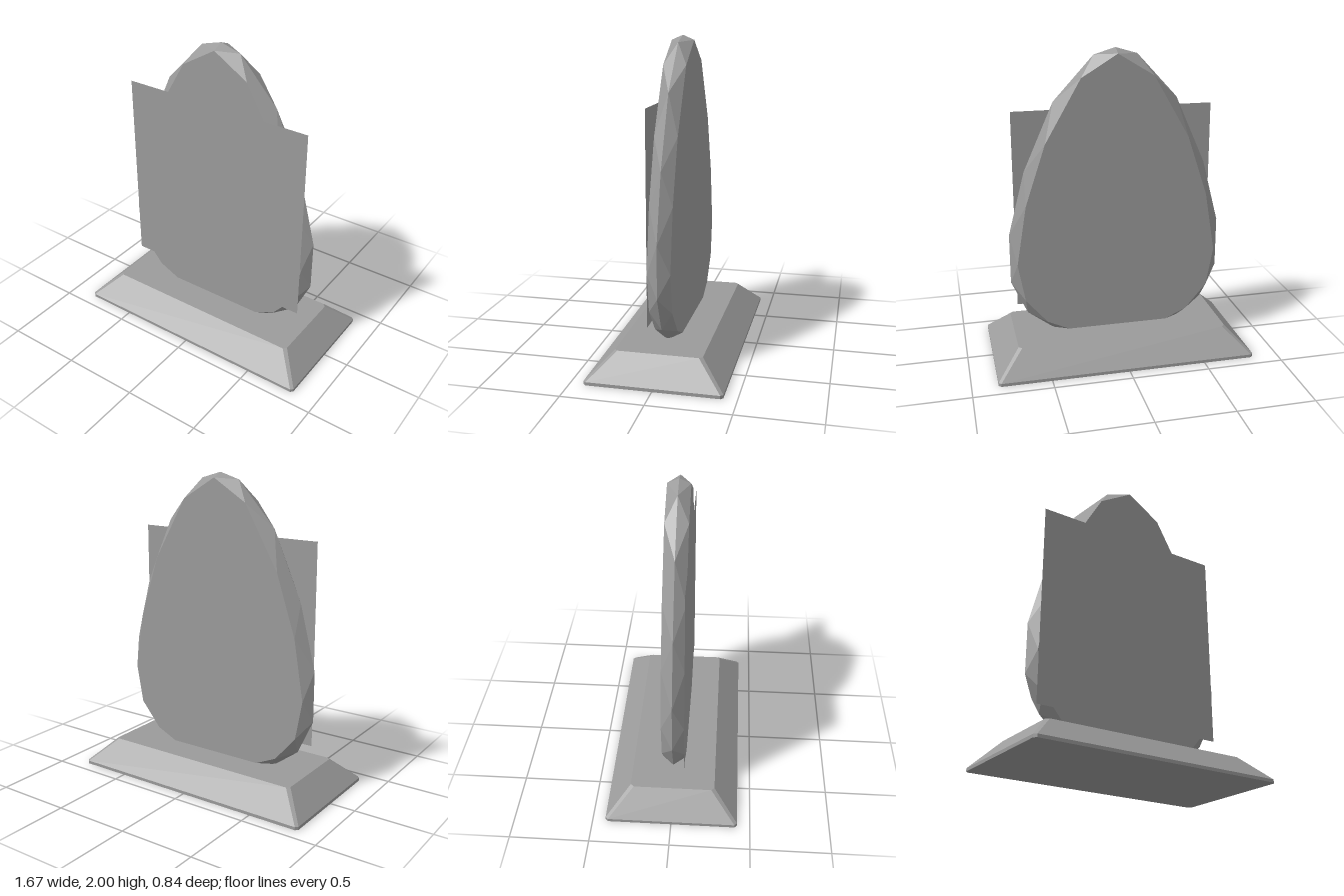
import * as THREE from 'three';

const material = new THREE.MeshStandardMaterial({ color: 0x9b9b9b, flatShading: true });

// Flat-shaded mesh from a list of corner triples
function facetMesh(name, corners) {
  const geometry = new THREE.BufferGeometry().setFromPoints(corners);
  geometry.computeVertexNormals();
  const mesh = new THREE.Mesh(geometry, material);
  mesh.name = name;
  return mesh;
}

// Egg-shaped slab: staggered ridge (z = 0) and rim (z = depth), mirrored four ways
function createSlab() {
  const depth = 0.071;
  const ridge = [[0, 2], [0.137, 1.96], [0.395, 1.68], [0.588, 1.245], [0.695, 0.835],
    [0.695, 0.51], [0.592, 0.285], [0.4, 0.14], [0, 0.13]];
  const rim = [[0, 1.97], [0.23, 1.83], [0.46, 1.43], [0.59, 1.04], [0.655, 0.65],
    [0.61, 0.4], [0.47, 0.235], [0.2, 0.11], [0, 0.1]];
  const corners = [];
  for (const sx of [1, -1]) {
    for (const sz of [1, -1]) {
      const point = ([x, y], z) => new THREE.Vector3(sx * x, y, sz * z);
      const outer = ridge.map((p) => point(p, 0));
      const inner = rim.map((p) => point(p, depth));
      const centre = point([0, 0.7], depth);
      const add = (a, b, c) => corners.push(...(sx * sz > 0 ? [a, b, c] : [a, c, b]));
      for (let i = 0; i < rim.length - 1; i++) {
        add(outer[i], inner[i], outer[i + 1]);
        add(inner[i], inner[i + 1], outer[i + 1]);
        add(centre, inner[i + 1], inner[i]);
      }
    }
  }
  return facetMesh('eggSlab', corners);
}

// Plinth: chamfered rectangles lofted upward, with a thin vertical foot
function createBase() {
  const ring = (y, w, d, cut) => [
    [w, d - cut], [w, cut - d], [w - cut, -d], [cut - w, -d],
    [-w, cut - d], [-w, d - cut], [cut - w, d], [w - cut, d],
  ].map(([x, z]) => new THREE.Vector3(x, y, z));
  const rings = [
    ring(0, 0.835, 0.418, 0.016),
    ring(0.02, 0.835, 0.418, 0.016),
    ring(0.17, 0.687, 0.268, 0.02),
  ];
  const bottom = new THREE.Vector3(0, 0, 0);
  const top = new THREE.Vector3(0, 0.17, 0);
  const corners = [];
  for (let i = 0; i < 8; i++) {
    const j = (i + 1) % 8;
    for (let k = 0; k < 2; k++) {
      const [low, high] = [rings[k], rings[k + 1]];
      corners.push(low[i], low[j], high[j], low[i], high[j], high[i]);
    }
    corners.push(bottom, rings[0][j], rings[0][i], top, rings[2][i], rings[2][j]);
  }
  return facetMesh('base', corners);
}

// Thin picture panel lying on the front of the slab
function createPanel() {
  const panelMaterial = material.clone();
  panelMaterial.side = THREE.DoubleSide;
  const panel = new THREE.Mesh(new THREE.PlaneGeometry(1.3, 1.3), panelMaterial);
  panel.name = 'frontPanel';
  panel.position.set(0, 0.965, 0.073);
  return panel;
}

export function createModel() {
  const model = new THREE.Group();
  model.name = 'eggPlaque';
  model.add(createBase(), createSlab(), createPanel());
  return model;
}
